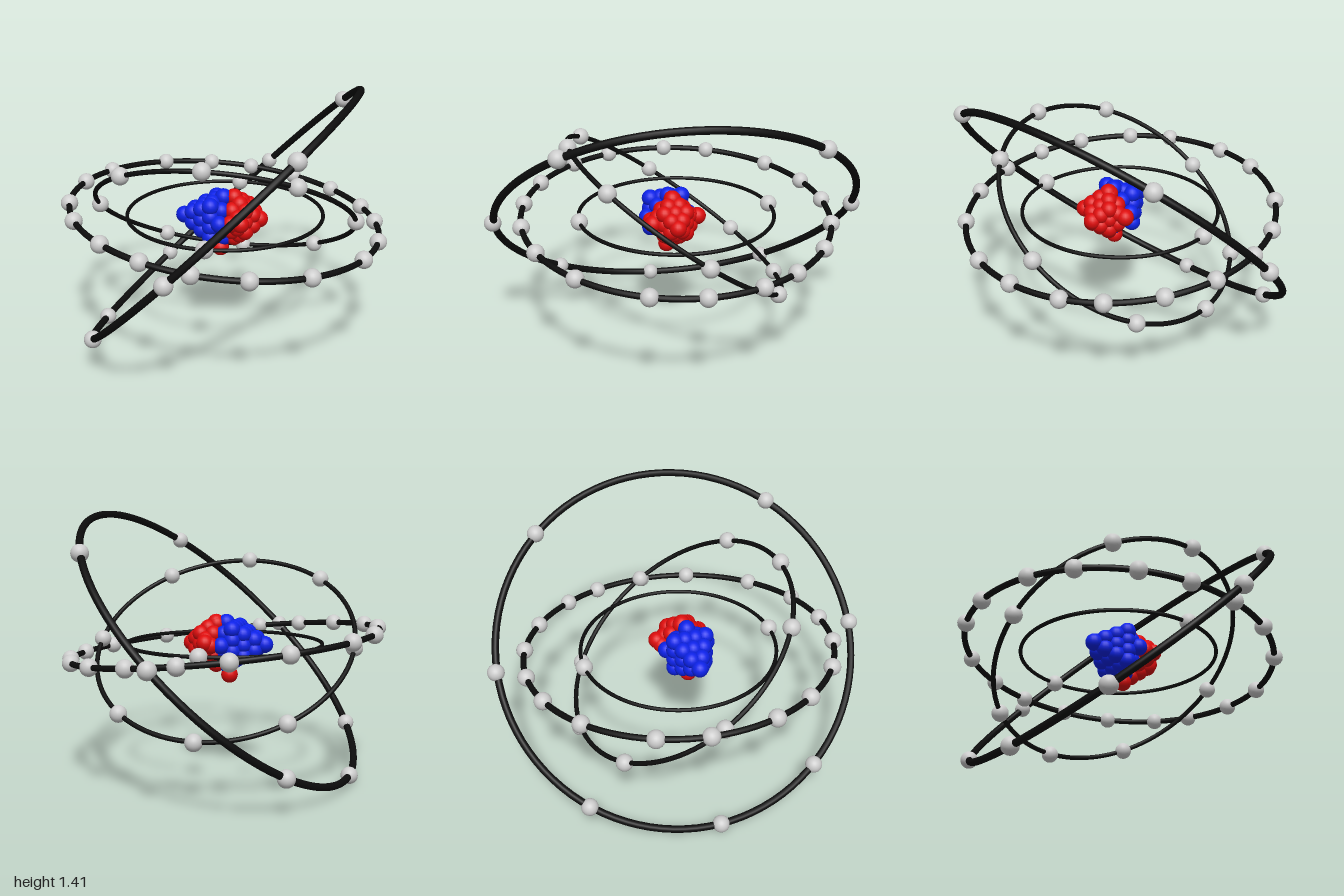
import * as THREE from 'three';

const V = (x, y, z) => new THREE.Vector3(x, y, z);
const material = (color) => new THREE.MeshStandardMaterial({ color, roughness: 0.7 });
const CENTRE = V(0, 0.722, 0);

// Each orbit lies in the plane of u and v; electrons sit at angles (degrees) from u towards v.
const ORBITS = [
  { name: 'innerOrbit', u: V(0.517, 0, 0), v: V(0, 0, -0.517), tube: 0.01, angles: [91.5, -90] },
  { name: 'secondOrbit', u: V(0.69, 0, 0), v: V(0, 0.41, 0.56), tube: 0.0125,
    angles: [0, 51, 90, 129, 180, 231, 270, 309] },
  { name: 'thirdOrbit', u: V(0.812, -0.085, 0), v: V(0, 0, -0.817), tube: 0.0155,
    angles: [90, 71, 52, 32, 17, -3, -22, -49, -71, -90, -108, -126, -147, -164, 172, 154, 127, 107] },
  { name: 'outerOrbit', u: V(0.67, 0.675, 0.063), v: V(0.09, 0, -0.955), tube: 0.019,
    angles: [-40, 43, 90, 142, -176, -140, -90] },
];

function makeOrbit({ name, u, v, tube, angles }, ringMaterial, electronGeometry, electronMaterial) {
  const orbit = new THREE.Group();
  orbit.name = name;
  orbit.position.copy(CENTRE);

  const x = u.clone().normalize();
  const y = v.clone().normalize();
  const z = x.clone().cross(y);
  const ring = new THREE.Mesh(new THREE.TorusGeometry(u.length(), tube, 12, 96), ringMaterial);
  ring.name = 'ring';
  ring.quaternion.setFromRotationMatrix(new THREE.Matrix4().makeBasis(x, y, z));
  orbit.add(ring);

  for (const degrees of angles) {
    const a = THREE.MathUtils.degToRad(degrees);
    const electron = new THREE.Mesh(electronGeometry, electronMaterial);
    electron.name = 'electron';
    electron.position.addScaledVector(u, Math.cos(a)).addScaledVector(v, Math.sin(a));
    orbit.add(electron);
  }
  return orbit;
}

// Half of the nucleus: staggered layers of spheres that shrink towards the tip.
function makeHalf(name, side, { start, length, z0, ry, rz, extras }, geometry, mat) {
  const half = new THREE.Group();
  half.name = name;
  const add = (x, y, z) => {
    const ball = new THREE.Mesh(geometry, mat);
    ball.name = 'nucleon';
    ball.position.set(x, y, z);
    half.add(ball);
  };
  const layers = 5;
  for (let i = 0; i < layers; i++) {
    const t = i / (layers - 1);
    const size = Math.sqrt(1 - 0.95 * t * t);
    const shift = i % 2 ? 0.5 : 0;
    for (let j = -3; j <= 3; j++) {
      for (let k = -3; k <= 3; k++) {
        const y = (j + shift) * 0.056;
        const z = (k + shift) * 0.056;
        if (Math.hypot(y / ry, z / rz) > size) continue;
        add(start + side * t * length, 0.715 + y, z0 + z);
      }
    }
  }
  for (const p of extras) add(...p);
  return half;
}

export function createModel() {
  const model = new THREE.Group();
  model.name = 'atom';

  // Orbits with their electrons
  const ringMaterial = material(0x0c0c0c);
  const electronMaterial = material(0xcccccc);
  const electronGeometry = new THREE.SphereGeometry(0.045, 24, 16);
  for (const o of ORBITS) model.add(makeOrbit(o, ringMaterial, electronGeometry, electronMaterial));

  // Nucleus: blue on the right half, red on the left half
  const nucleus = new THREE.Group();
  nucleus.name = 'nucleus';
  const nucleonGeometry = new THREE.SphereGeometry(0.045, 18, 12);
  nucleus.add(
    makeHalf('neutrons', -1,
      { start: 0, length: 0.21, z0: 0.045, ry: 0.125, rz: 0.125, extras: [] },
      nucleonGeometry, material(0x0c22e8)),
    makeHalf('protons', 1,
      { start: 0.055, length: 0.135, z0: 0.035, ry: 0.12, rz: 0.12,
        extras: [[-0.015, 0.545, 0.05], [0.08, 0.73, -0.095], [0.11, 0.72, 0.15], [0.05, 0.82, 0.03]] },
      nucleonGeometry, material(0xdd0c0c)),
  );
  model.add(nucleus);
  return model;
}
